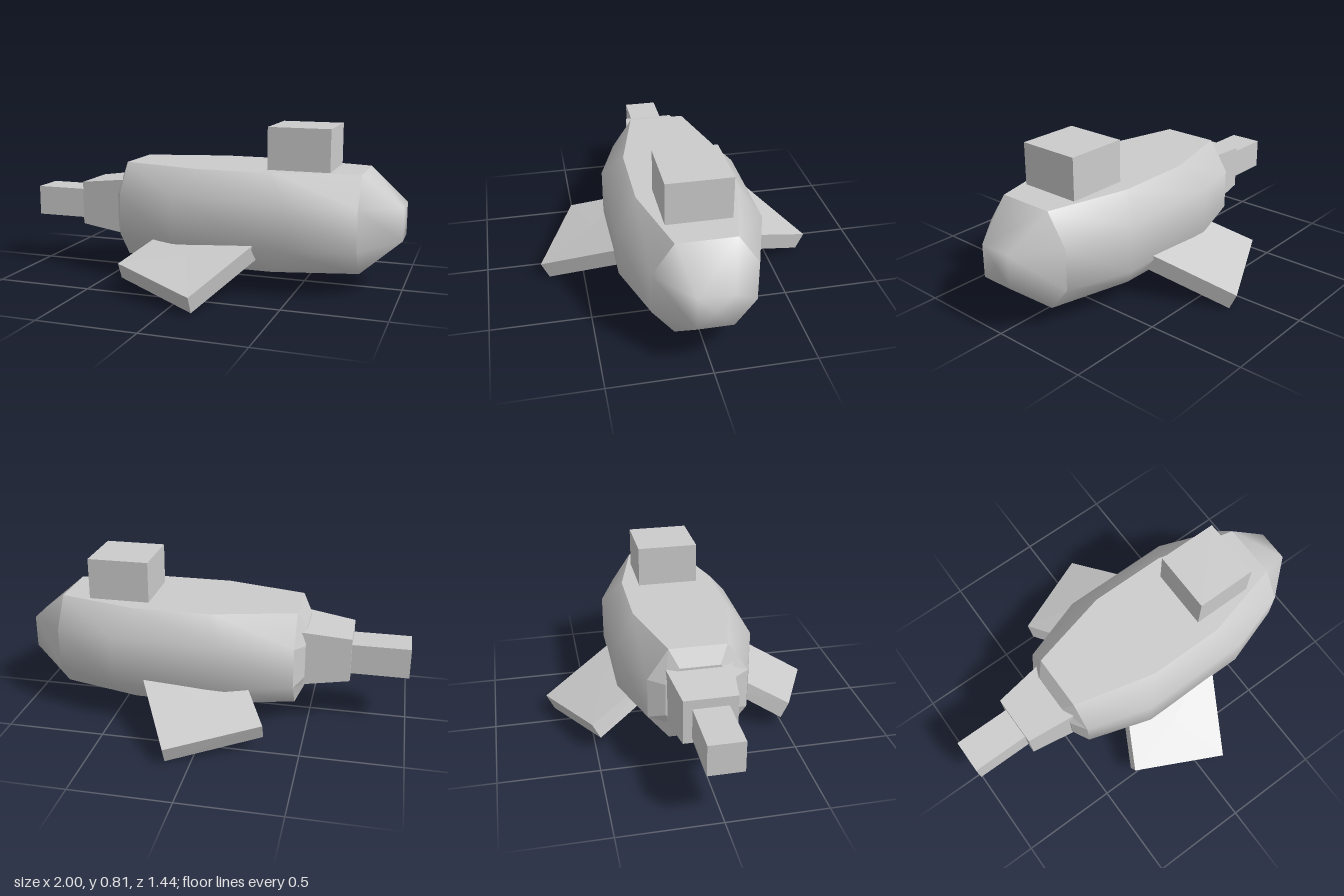
import * as THREE from 'three';
import { mergeVertices } from 'three/addons/utils/BufferGeometryUtils.js';

const material = new THREE.MeshStandardMaterial({ color: 0xcccccc });

// Skin a grid of points (rows of equal length), smooth or faceted
function skin(rows, smooth) {
  const n = rows[0].length;
  const index = [];
  for (let i = 0; i < rows.length - 1; i++) {
    for (let j = 0; j < n - 1; j++) {
      const a = i * n + j, b = a + 1, c = b + n, d = a + n;
      index.push(a, b, c, a, c, d);
    }
  }
  let g = new THREE.BufferGeometry();
  g.setAttribute('position', new THREE.Float32BufferAttribute(rows.flat(2), 3));
  g.setIndex(index);
  g = smooth ? mergeVertices(g) : g.toNonIndexed();
  g.computeVertexNormals();
  return g;
}

const close = (ring) => [...ring, ring[0]];
// Row that collapses a ring to its centre, used as an end cap
const centre = (ring) => {
  const c = [0, 1, 2].map((k) => ring.reduce((s, p) => s + p[k], 0) / ring.length);
  return ring.map(() => c);
};
const solid = (rings) =>
  skin([centre(rings[0]), ...rings, centre(rings.at(-1))].map(close), false);

// Eight-sided hull section; flat edges and side edges can lie at different x
function section(xFlat, xSide, flatW, sideW, top, high, low, bottom) {
  const half = [[xFlat, top, flatW], [xSide, high, sideW], [xSide, low, sideW], [xFlat, bottom, flatW]];
  return [...half, ...half.map(([x, y, z]) => [x, y, -z]).reverse()];
}

const rect = (x, bottom, top, w) => [[x, top, w], [x, bottom, w], [x, bottom, -w], [x, top, -w]];

export function createModel() {
  const model = new THREE.Group();
  const add = (parent, name, geometry) => {
    const mesh = new THREE.Mesh(geometry, material);
    mesh.name = name;
    parent.add(mesh);
    return mesh;
  };

  // Hull: rounded sides between a flat deck and a flat keel
  const hull = new THREE.Group();
  hull.name = 'hull';
  model.add(hull);
  const sections = [
    section(-0.43, -0.43, 0.145, 0.25, 0.605, 0.45, 0.24, 0.11),
    section(-0.01, -0.1, 0.25, 0.355, 0.605, 0.475, 0.24, 0.11),
    section(0.39, 0.48, 0.25, 0.355, 0.605, 0.475, 0.24, 0.11),
    section(0.805, 0.805, 0.145, 0.25, 0.605, 0.45, 0.24, 0.11),
  ];
  const pick = (columns) => sections.map((s) => columns.map((c) => s[c]));
  add(hull, 'frontSide', skin(pick([0, 1, 2, 3]), true));
  add(hull, 'backSide', skin(pick([4, 5, 6, 7]), true));
  add(hull, 'deck', skin(pick([7, 0]), false));
  add(hull, 'keel', skin(pick([3, 4]), false));

  // Rounded nose tapering to a small blunt end
  const tip = section(1, 1, 0.085, 0.085, 0.44, 0.44, 0.275, 0.275);
  add(hull, 'nose', skin([sections[3], tip, centre(tip)].map(close), true));

  // Bevelled stern
  const stern = section(-0.478, -0.478, 0.1, 0.17, 0.52, 0.44, 0.27, 0.2);
  add(hull, 'stern', skin([centre(stern), stern, sections[0]].map(close), false));

  // Tapered tail block and the boom behind it
  add(model, 'tailBlock', solid([rect(-0.705, 0.25, 0.48, 0.132), rect(-0.44, 0.22, 0.512, 0.166)]));
  const boom = add(model, 'tailBoom', new THREE.BoxGeometry(0.32, 0.158, 0.176));
  boom.position.set(-0.84, 0.353, 0);

  // Tower on the deck
  const tower = add(model, 'tower', new THREE.BoxGeometry(0.316, 0.24, 0.32));
  tower.position.set(0.494, 0.698, 0);

  // Drooping fins: tip front, root front, root rear, tip rear
  const finBottom = [[0.125, 0.005, 0.68], [0.38, 0.23, 0.2], [-0.17, 0.21, 0.19], [-0.32, 0.075, 0.475]];
  const finTop = [[0.125, 0.09, 0.72], [0.38, 0.315, 0.24], [-0.17, 0.28, 0.23], [-0.32, 0.157, 0.515]];
  const mirror = (ring) => ring.map(([x, y, z]) => [x, y, -z]).reverse();
  add(model, 'frontFin', solid([finBottom, finTop]));
  add(model, 'backFin', solid([mirror(finBottom), mirror(finTop)]));

  return model;
}
